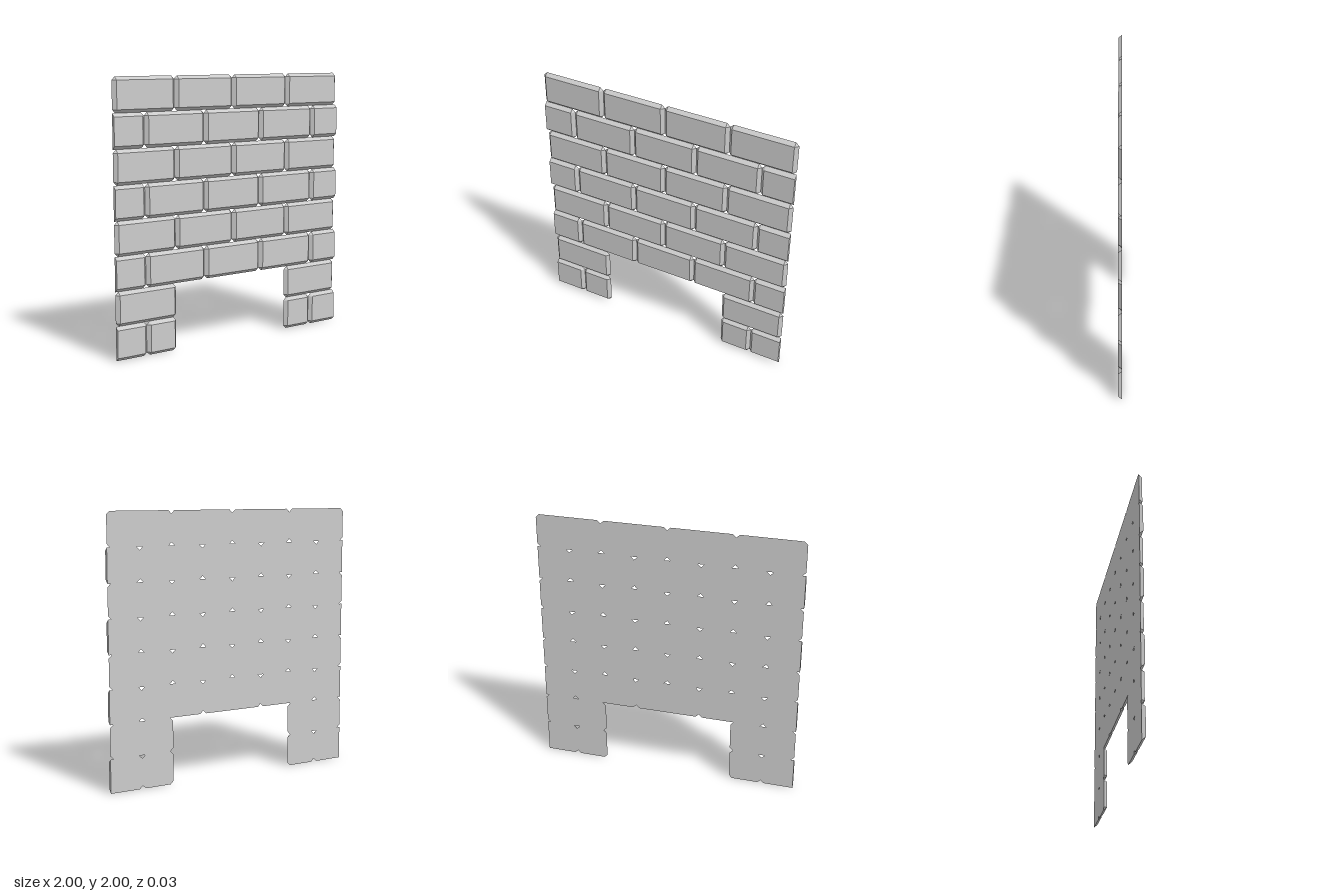
import * as THREE from 'three';

const BEVEL = 0.024, HALF_DEPTH = 0.0133, ROW = 0.25;

// One brick: a front rectangle, sloping to a larger back outline with clipped corners.
// A bevel of 0 on the left or right leaves that end cut flat.
function brickGeometry(x0, x1, y0, y1, bevel0, bevel1) {
  const front = [], back = [];
  const corners = [[x1, y0, -bevel1, BEVEL], [x1, y1, -bevel1, -BEVEL],
    [x0, y1, bevel0, -BEVEL], [x0, y0, bevel0, BEVEL]];
  corners.forEach(([x, y, dx, dy], i) => {
    front.push(new THREE.Vector3(x + dx, y + dy, HALF_DEPTH));
    const onSide = new THREE.Vector3(x, y + dy, -HALF_DEPTH);
    const onEdge = new THREE.Vector3(x + dx, y, -HALF_DEPTH);
    back.push(...(i % 2 ? [onSide, onEdge] : [onEdge, onSide]));
  });

  const points = [];
  const tri = (...p) => points.push(...p);
  tri(front[0], front[1], front[2], front[0], front[2], front[3]);
  for (let i = 0; i < 4; i++) {
    const j = (i + 1) % 4, a = back[2 * i], b = back[2 * i + 1], c = back[2 * j];
    tri(front[i], a, b); // clipped corner
    tri(front[i], b, c, front[i], c, front[j]); // sloping side
  }
  for (let i = 1; i < 7; i++) tri(back[0], back[i + 1], back[i]); // flat back

  const geometry = new THREE.BufferGeometry().setFromPoints(points);
  geometry.computeVertexNormals();
  return geometry;
}

export function createModel() {
  const wall = new THREE.Group();
  wall.name = 'brickWall';
  const material = new THREE.MeshStandardMaterial({ color: 0xcccccc, flatShading: true });

  // Joint positions of each kind of course, left out where the opening is
  const fullCourse = [[-1, -0.5], [-0.5, 0], [0, 0.5], [0.5, 1]];
  const offsetCourse = [[-1, -0.75], [-0.75, -0.25], [-0.25, 0.25], [0.25, 0.75], [0.75, 1]];
  const offsetPiers = [[-1, -0.75], [-0.75, -0.5], [0.5, 0.75], [0.75, 1]];
  const fullPiers = [[-1, -0.5], [0.5, 1]];

  for (let row = 0; row < 8; row++) {
    const offset = row % 2 === 0;
    const course = new THREE.Group();
    course.name = row < 2 ? 'pierCourse' : 'wallCourse';
    const spans = row < 2 ? (offset ? offsetPiers : fullPiers) : (offset ? offsetCourse : fullCourse);
    for (const [x0, x1] of spans) {
      // Half bricks at the outer ends of offset courses are cut flat
      const bevel0 = offset && x0 === -1 ? 0 : BEVEL;
      const bevel1 = offset && x1 === 1 ? 0 : BEVEL;
      const brick = new THREE.Mesh(
        brickGeometry(x0, x1, row * ROW, (row + 1) * ROW, bevel0, bevel1), material);
      brick.name = x1 - x0 < 0.4 ? 'halfBrick' : 'brick';
      course.add(brick);
    }
    wall.add(course);
  }
  return wall;
}
